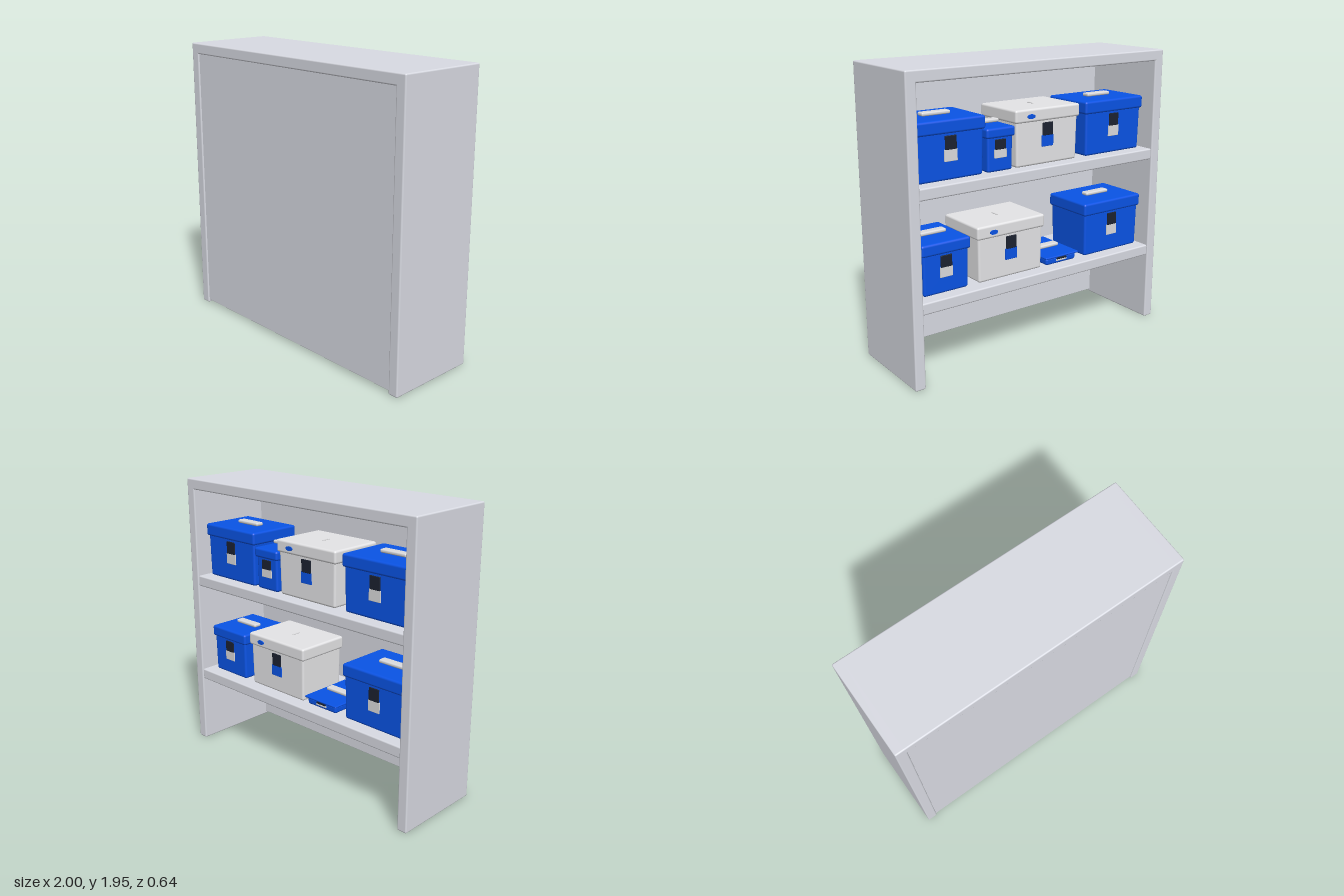
import * as THREE from 'three';
import { RoundedBoxGeometry } from 'three/addons/geometries/RoundedBoxGeometry.js';

const mat = (name, color) => {
  const m = new THREE.MeshStandardMaterial({ color });
  m.name = name;
  return m;
};

export function createModel() {
  const grey = mat('cabinet grey', 0xd9dbe3);
  const blue = mat('box blue', 0x0a54e6);
  const white = mat('box white', 0xe6e6e8);
  const silver = mat('label silver', 0xdcdcde);
  const black = mat('latch black', 0x1c2230);

  const model = new THREE.Group();
  model.name = 'storageCabinet';

  // Rounded block placed by its centre
  const block = (parent, name, material, [w, h, d], [x, y, z], r = 0.01) => {
    const geo = new RoundedBoxGeometry(w, h, d, 2, Math.min(r, h * 0.45, d * 0.45, w * 0.45));
    const mesh = new THREE.Mesh(geo, material);
    mesh.name = name;
    mesh.position.set(x, y, z);
    parent.add(mesh);
    return mesh;
  };

  // Cabinet shell, open towards -z
  for (const s of [-1, 1]) {
    block(model, s > 0 ? 'leftSide' : 'rightSide', grey, [0.072, 1.95, 0.645], [s * 0.964, 0.975, 0]);
  }
  block(model, 'topPanel', grey, [1.98, 0.074, 0.645], [0, 1.913, 0]);
  block(model, 'closedPanel', grey, [1.87, 1.87, 0.02], [0, 0.955, 0.303], 0.004);

  // Shelves
  const shelfTops = [0.555, 1.265];
  shelfTops.forEach((y, i) => {
    block(model, i ? 'upperShelf' : 'lowerShelf', grey, [1.87, 0.075, 0.61], [0, y - 0.0375, -0.008]);
  });

  // Lidded box with a latch and label facing -z
  const storageBox = (name, x, y, w, h, isWhite) => {
    const box = new THREE.Group();
    box.name = name;
    box.position.set(x, y, -0.05);
    const body = isWhite ? white : blue;
    const d = 0.39, k = h / 0.37;
    const lidH = 0.085 * k, bodyH = h - lidH;

    // Body, narrowing towards its base
    const bw = w - 0.024, bd = d - 0.024;
    const tub = block(box, 'tub', body, [bw, bodyH + 0.02 * k, bd], [0, (bodyH + 0.02 * k) / 2, 0], 0.015);
    const p = tub.geometry.attributes.position;
    for (let i = 0; i < p.count; i++) {
      const t = 0.99 + 0.01 * (p.getY(i) / (bodyH / 2));
      p.setX(i, p.getX(i) * t);
      p.setZ(i, p.getZ(i) * t);
    }
    tub.geometry.computeBoundingSphere();

    // Overhanging lid
    block(box, 'lid', body, [w, lidH, d], [0, h - lidH / 2, 0], 0.015);

    // Latch and label plates
    const face = -bd / 2;
    block(box, 'latch', black, [0.08, 0.085 * k, 0.009], [0, bodyH - 0.055 * k, face - 0.002], 0.003);
    block(box, 'label', isWhite ? blue : silver, [0.092, 0.075 * k, 0.009],
      [0, bodyH - 0.132 * k, face], 0.003);

    if (isWhite) {
      // Small badge on the lid and a thin mark on top
      const badge = new THREE.Mesh(new THREE.CylinderGeometry(0.03, 0.03, 0.008, 20), blue);
      badge.name = 'badge';
      badge.rotation.x = Math.PI / 2;
      badge.scale.z = 0.5;
      badge.position.set(w * 0.27, h - lidH * 0.55, -d / 2 - 0.002);
      box.add(badge);
      block(box, 'lidMark', silver, [0.01, 0.008, 0.06], [0, h + 0.002, 0], 0.003);
    } else {
      // Raised carrying handle
      block(box, 'handle', silver, [0.2, 0.024, 0.06], [0, h + 0.012, 0], 0.01);
    }
    model.add(box);
  };

  // Boxes on the upper shelf
  const [low, high] = shelfTops;
  storageBox('upperLeftBox', 0.66, high, 0.495, 0.37, false);
  storageBox('upperSmallBox', 0.3, high, 0.215, 0.28, false);
  storageBox('upperWhiteBox', -0.07, high, 0.52, 0.37, true);
  storageBox('upperRightBox', -0.64, high, 0.515, 0.37, false);

  // Boxes on the lower shelf
  storageBox('lowerLeftBox', 0.71, low, 0.35, 0.335, false);
  storageBox('lowerWhiteBox', 0.22, low, 0.53, 0.375, true);
  storageBox('lowerFlatBox', -0.2, low, 0.28, 0.06, false);
  storageBox('lowerRightBox', -0.65, low, 0.515, 0.375, false);

  return model;
}
